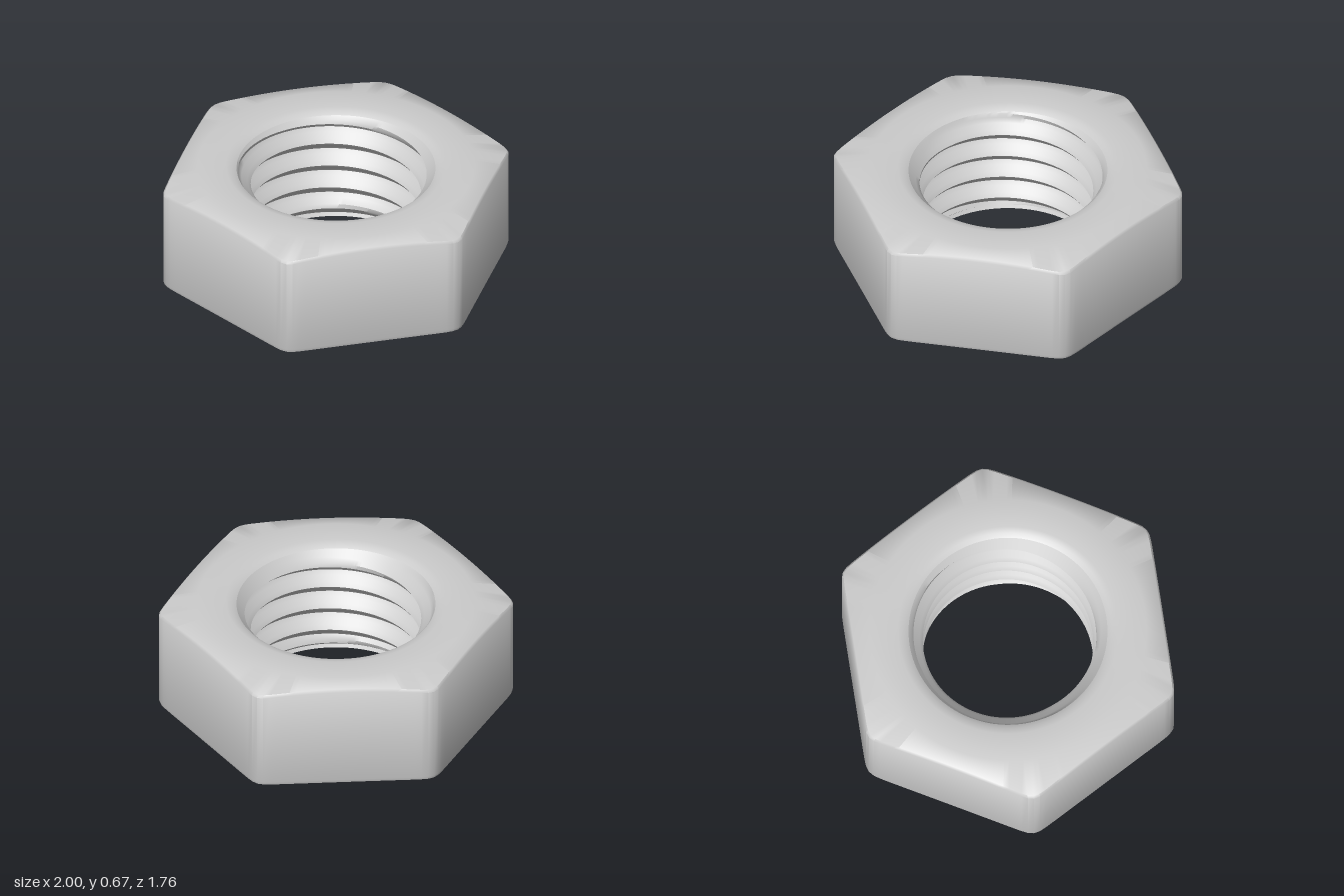
import * as THREE from 'three';
import { toCreasedNormals } from 'three/addons/utils/BufferGeometryUtils.js';

const SEG = 180, APOTHEM = 0.88, TOP = 0.67, BOTTOM = 0.02;
const PITCH = 0.145, CREST = 0.48, ROOT = 0.55, STEPS = 6;
const THREAD_LOW = 0.02, THREAD_HIGH = 0.65;

// Radius of a hexagon with softly rounded corners, corners on the x axis
function hexRadius(a) {
  let sum = 0;
  for (let k = 0; k < 6; k++) {
    const c = Math.cos(a - Math.PI / 6 - k * Math.PI / 3) / APOTHEM;
    if (c > 0) sum += Math.pow(c, 42);
  }
  return Math.pow(sum, -1 / 42);
}

// Sweep a profile around the y axis; profile(a) gives [radius, height] pairs
function sweep(profile) {
  const rings = [];
  for (let i = 0; i <= SEG; i++) {
    const a = i / SEG * Math.PI * 2;
    rings.push(profile(a).map(([r, y]) =>
      new THREE.Vector3(r * Math.cos(a), y, -r * Math.sin(a))));
  }
  const pos = [];
  const tri = (a, b, c) => {
    const area = b.clone().sub(a).cross(c.clone().sub(a)).length();
    if (area > 1e-8) for (const p of [a, b, c]) pos.push(p.x, p.y, p.z);
  };
  for (let i = 0; i < SEG; i++) {
    const p = rings[i], q = rings[i + 1];
    for (let j = 0; j < p.length - 1; j++) {
      tri(p[j], q[j], q[j + 1]);
      tri(p[j], q[j + 1], p[j + 1]);
    }
  }
  const geo = new THREE.BufferGeometry();
  geo.setAttribute('position', new THREE.Float32BufferAttribute(pos, 3));
  return toCreasedNormals(geo, 0.7);
}

// Outside: underside, rounded lower edge, six flats, conical chamfer, top face
function bodyProfile(a) {
  const R = hexRadius(a);
  const chamfer = r => TOP - Math.max(0, r - 0.78) * 0.22;
  return [
    [0.53, 0], [0.62, 0.012], [R - 0.025, BOTTOM], [R - 0.006, BOTTOM + 0.006],
    [R, BOTTOM + 0.025], [R, chamfer(R) - 0.012], [R - 0.012, chamfer(R - 0.012)],
    [0.78, TOP], [0.62, TOP], [0.585, TOP - 0.006], [0.56, THREAD_HIGH],
  ];
}

// Bore: helical rows, widened into a countersink at both ends
function threadProfile(a) {
  const turn = a / (Math.PI * 2), rows = [[0.56, THREAD_HIGH]];
  const count = Math.ceil((THREAD_HIGH - THREAD_LOW) / PITCH + 2) * STEPS;
  for (let k = count; k >= 0; k--) {
    const phase = k / STEPS;
    const y = THREE.MathUtils.clamp(
      THREAD_LOW + (phase - 1 + turn) * PITCH, THREAD_LOW, THREAD_HIGH);
    const local = (y - THREAD_LOW) / PITCH - turn;
    const wave = 0.5 - 0.5 * Math.cos(local * Math.PI * 2);
    const thread = CREST + (ROOT - CREST) * wave;
    rows.push([Math.max(thread, 0.56 - (THREAD_HIGH - y) * 0.9,
      0.54 - (y - THREAD_LOW) * 0.9), y]);
  }
  rows.push([0.54, THREAD_LOW], [0.53, 0]);
  return rows;
}

export function createModel() {
  const group = new THREE.Group();
  group.name = 'hexNut';
  const material = new THREE.MeshStandardMaterial({ color: 0xcccccc });
  const add = (name, profile) => {
    const mesh = new THREE.Mesh(sweep(profile), material);
    mesh.name = name;
    group.add(mesh);
  };
  add('hexBody', bodyProfile);
  add('threadedBore', threadProfile);
  return group;
}
